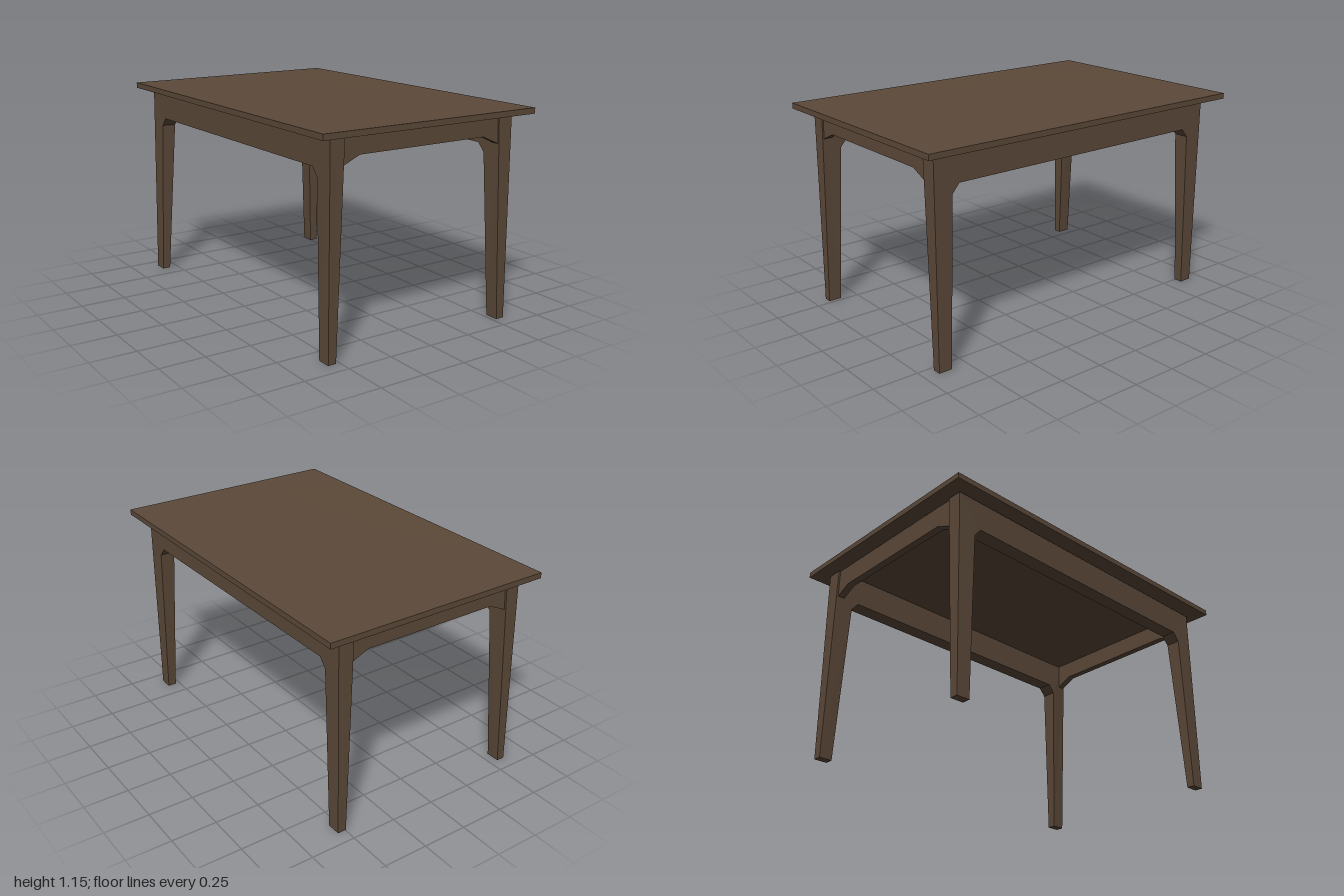
import * as THREE from 'three';

const lerp = THREE.MathUtils.lerp;

// Extrude an outline of [x, y] points along z
function extrude(points, depth) {
  const shape = new THREE.Shape(points.map(([x, y]) => new THREE.Vector2(x, y)));
  return new THREE.ExtrudeGeometry(shape, { depth, bevelEnabled: false });
}

// Move every vertex by a rule, then refresh the normals
function reshape(geometry, rule) {
  const p = geometry.attributes.position;
  const v = new THREE.Vector3();
  for (let i = 0; i < p.count; i++) {
    v.fromBufferAttribute(p, i);
    rule(v);
    p.setXYZ(i, v.x, v.y, v.z);
  }
  geometry.computeVertexNormals();
  return geometry;
}

export function createModel() {
  const wood = new THREE.MeshStandardMaterial({ color: 0x5c4939 });
  wood.name = 'darkWood';
  const table = new THREE.Group();
  table.name = 'table';
  const add = (name, geometry) => {
    const mesh = new THREE.Mesh(geometry, wood);
    mesh.name = name;
    table.add(mesh);
    return mesh;
  };

  // Thin slab, very slightly swollen towards its middle
  add('tabletop', reshape(new THREE.BoxGeometry(1.3, 0.03, 2, 16, 1, 24), (v) => {
    const swell = (1 - (v.x / 0.65) ** 2) * (1 - v.z ** 2);
    v.y = v.y > 0 ? 1.143 + 0.009 * swell : 1.112 - 0.004 * swell;
  }));

  // Side frames: two tapered legs and a long rail in one piece (outline runs back along x)
  const frameOutline = [
    [-0.92, 0], [-0.845, 0], [-0.815, 0.9], [-0.775, 0.947],
    [0.78, 0.947], [0.82, 0.9], [0.85, 0], [0.925, 0], [0.925, 1.106], [-0.92, 1.106],
  ];
  // lower and upper x limits, each at the feet and at the rail
  const frames = [
    ['leftSideFrame', [0.525, 0.48], [0.573, 0.567]],
    ['rightSideFrame', [-0.565, -0.557], [-0.52, -0.475]],
  ];
  for (const [name, low, high] of frames) {
    add(name, reshape(extrude(frameOutline, 1), (v) => {
      const rise = Math.min(v.y / 0.95, 1);
      const skew = lerp(0.029, 0.016, rise) * (v.x + 0.92) / 1.84;
      const x = lerp(lerp(low[0], low[1], rise), lerp(high[0], high[1], rise), v.z) - skew;
      v.set(x, v.y, -v.x);
    }));
  }

  // End rails with sloping corner braces
  const endRail = (name, bottom, z, shift) => {
    const half = [[0.49, bottom - 0.047], [0.49, 1.107]];
    const outline = [
      [-0.385, bottom], [0.385, bottom], ...half,
      ...half.map(([x, y]) => [-x, y]).reverse(),
    ];
    const rail = add(name, extrude(outline, 0.04));
    rail.position.set(shift, 0, z);
  };
  endRail('frontRail', 1.005, 0.872, 0);
  endRail('backRail', 0.991, -0.915, -0.01);

  return table;
}
